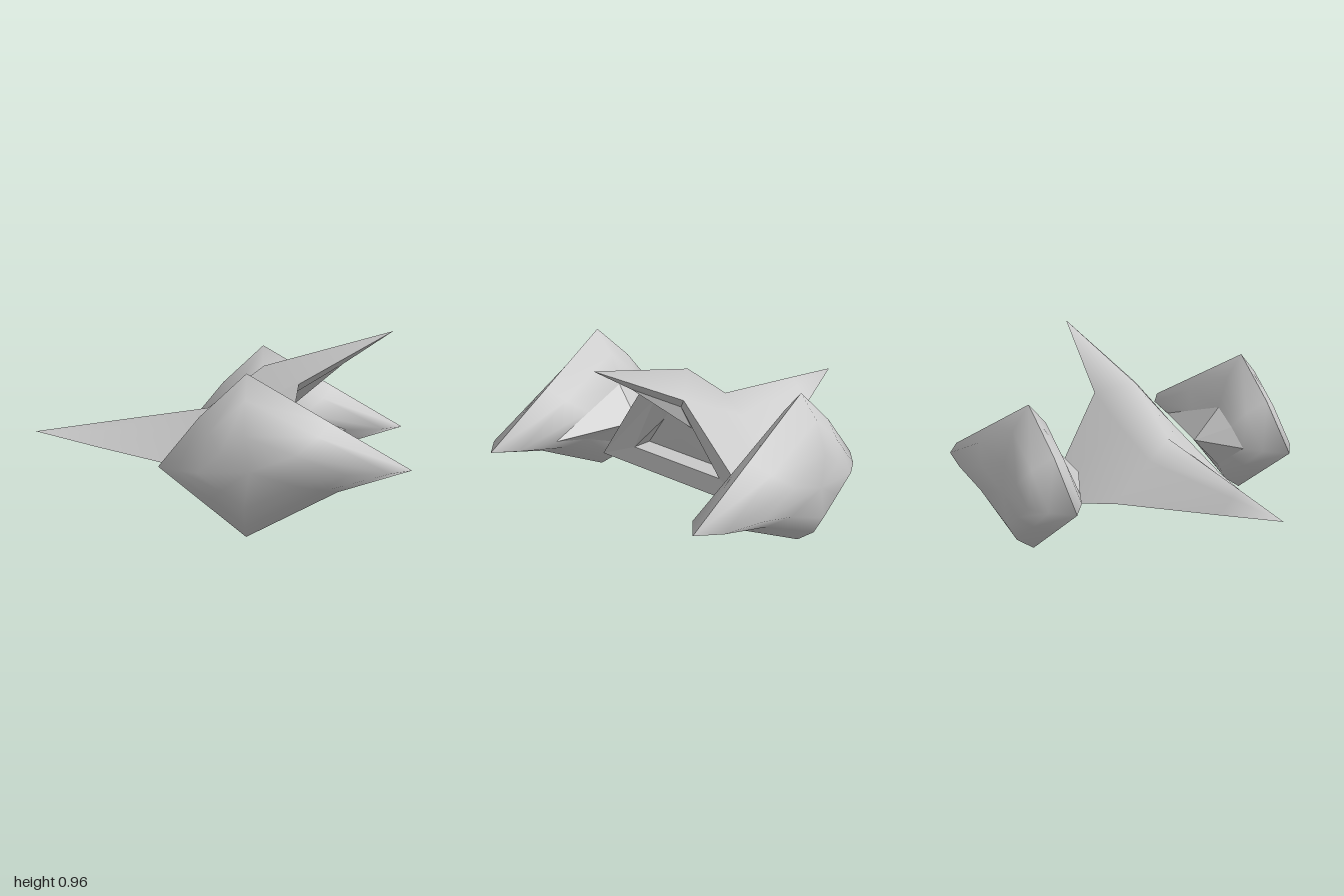
import * as THREE from 'three';
import { mergeVertices } from 'three/addons/utils/BufferGeometryUtils.js';

const lerp = (a, b, t) => a.map((v, i) => v + (b[i] - v) * t);

// Skin stretched over rows of points; smooth unless flat is set.
function skin(name, rows, { closed = false, flip = false, flat = false } = {}) {
  const n = rows[0].length;
  const index = [];
  for (let r = 0; r < rows.length - 1; r++) {
    for (let i = 0; i < (closed ? n : n - 1); i++) {
      const j = (i + 1) % n;
      const a = r * n + i, b = r * n + j, c = b + n, d = a + n;
      if (flip) index.push(a, c, b, a, d, c);
      else index.push(a, b, c, a, c, d);
    }
  }
  let geometry = new THREE.BufferGeometry();
  geometry.setAttribute('position', new THREE.Float32BufferAttribute(rows.flat(2), 3));
  geometry.setIndex(index);
  geometry = mergeVertices(geometry, 1e-4);
  if (flat) geometry = geometry.toNonIndexed();
  geometry.computeVertexNormals();
  const material = new THREE.MeshStandardMaterial({
    color: 0xcccccc, side: THREE.DoubleSide, flatShading: flat,
  });
  const mesh = new THREE.Mesh(geometry, material);
  mesh.name = name;
  return mesh;
}

// Half a section, from the lower rail to the ridge, mirrored to the other side.
const mirrored = (half) => [
  ...half,
  ...half.slice(0, -1).reverse().map(([x, y, z]) => [x, y, -z]),
];

function createFuselage() {
  const group = new THREE.Group();
  group.name = 'fuselage';

  const nose = [-1, 0.4, 0];
  const corner = [0.345, 0.165, 0.535];
  const notch = [0.43, 0.69, 0.14];
  const tip = [0.92, 0.96, 0];
  const section = (rail, ridge) => mirrored([rail, lerp(rail, ridge, 0.65), ridge]);

  // Upper skin, from the nose to the swept tail spike
  const stations = [
    section(nose, nose),
    section([-0.65, 0.34, 0.12], [-0.65, 0.453, 0]),
    section([-0.06, 0.255, 0.355], [-0.06, 0.54, 0]),
    section([0.1, 0.217, 0.425], [0.24, 0.77, 0]),
    mirrored([corner, notch, tip]),
  ];
  group.add(skin('upperHull', stations, { flip: true }));

  // Underside between the two lower rails
  group.add(skin('underside', stations.map((s) => [s[0], s[4]])));

  // Rear frame stepping into a recessed triangular opening
  const deepCorner = [0.25, 0.28, 0.275];
  const deepTop = [0.36, 0.6, 0];
  const centre = [0.29, 0.39, 0];
  const rear = [
    mirrored([corner, notch, tip]),
    mirrored([[0.34, 0.27, 0.3], [0.395, 0.63, 0.09], [0.66, 0.785, 0]]),
    mirrored([deepCorner, lerp(deepCorner, deepTop, 0.65), deepTop]),
    Array(5).fill(centre),
  ];
  group.add(skin('rearFrame', rear, { closed: true, flip: true, flat: true }));
  return group;
}

// Eight-sided diamond outline, counter-clockwise seen from +z
function diamond({ left, right, top, bottom, dent }, z) {
  const tipY = 0.345, midX = 0.195;
  const R = [right, tipY, z], T = [midX, top, z];
  const L = [left, tipY, z], B = [midX, bottom, z];
  const push = (p, dx, dy) => [p[0] + dx * dent, p[1] + dy * dent, z];
  return [
    R, lerp(R, T, 0.5), T, push(lerp(T, L, 0.5), -0.015, 0.015),
    L, lerp(L, B, 0.5), B, push(lerp(B, R, 0.5), 0.045, 0.06),
  ];
}

function createPod(side) {
  const group = new THREE.Group();
  group.name = side > 0 ? 'frontPod' : 'backPod';
  const layers = [
    { dz: 0, left: -0.24, right: 1, top: 0.81, bottom: 0, dent: 1 },
    { dz: 0.1, left: -0.13, right: 0.89, top: 0.69, bottom: 0.075, dent: 0.8 },
    { dz: 0.158, left: -0.03, right: 0.68, top: 0.525, bottom: 0.175, dent: 0.4 },
  ];
  const rings = (dir) => layers.map((l) => diamond(l, side * 0.703 + dir * l.dz));
  const point = (z) => Array(8).fill([0.22, 0.353, z]);

  // Bulging outer and inner shells meet at a sharp rim
  const outer = rings(side);
  outer.push(point(side * 0.862));
  group.add(skin('outerShell', outer, { closed: true, flip: side < 0 }));

  const inner = rings(-side);
  group.add(skin('innerShell', inner, { closed: true, flip: side > 0 }));

  // Pyramid pointing at the fuselage
  const mount = [inner[2], point(side * 0.392)];
  group.add(skin('podMount', mount, { closed: true, flip: side > 0, flat: true }));
  return group;
}

export function createModel() {
  const model = new THREE.Group();
  model.name = 'spacecraft';
  model.add(createFuselage(), createPod(1), createPod(-1));
  return model;
}
